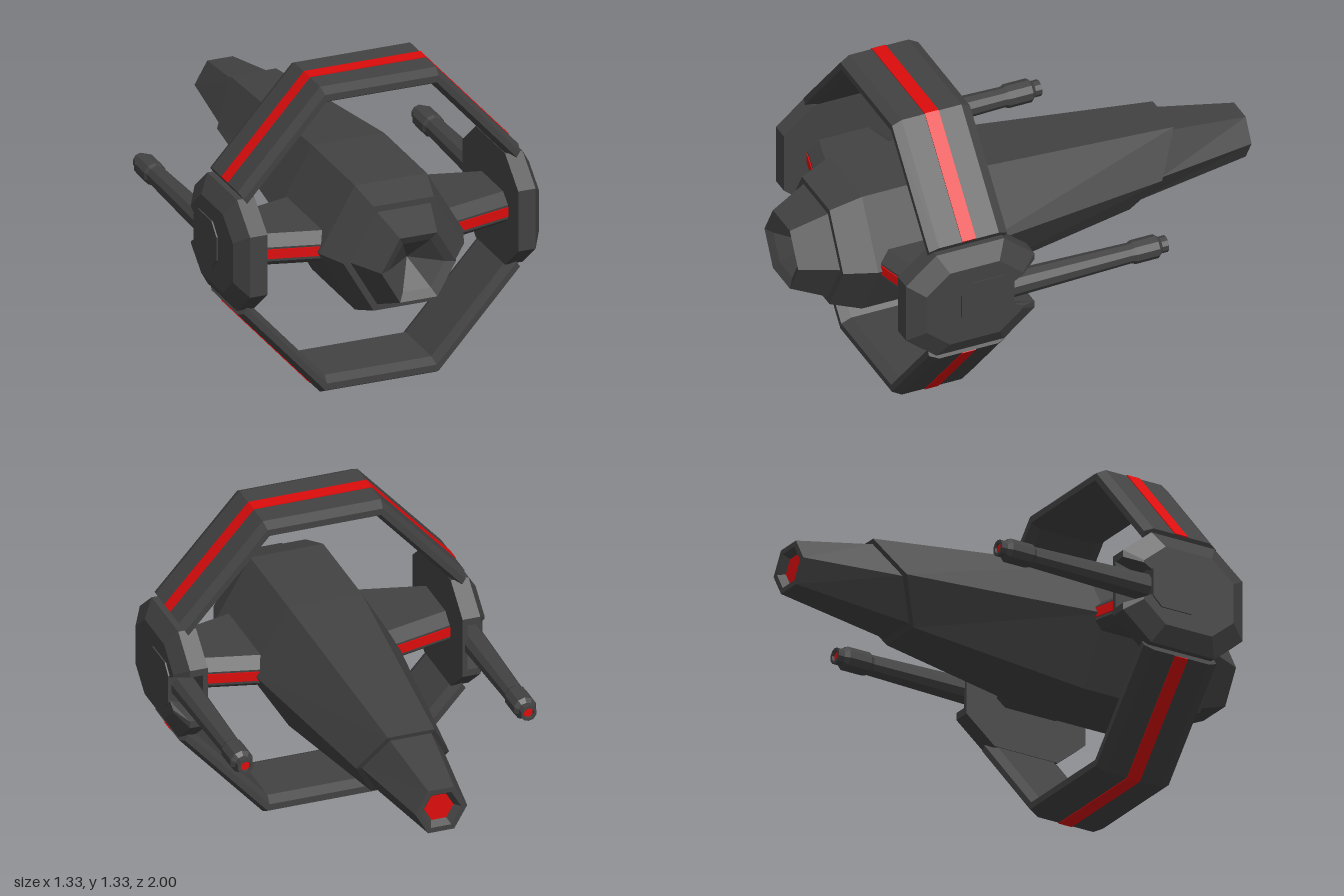
import * as THREE from 'three';

const CY = 0.66; // height of the hull axis
const HZ = 0.46; // z centre of the frame and the side pods

// Closed flat-sided solid through matching rings of [x, y, z]; `drop` is the axis ignored when capping
function loft(rings, drop) {
  const flat = r => r.map(p => new THREE.Vector2(...p.filter((_, k) => k !== drop)));
  if (THREE.ShapeUtils.isClockWise(flat(rings[0]))) rings = rings.map(r => [...r].reverse());
  const n = rings[0].length, out = [];
  const cap = (ring, flip) => {
    const f = flat(ring);
    for (const t of THREE.ShapeUtils.triangulateShape(f, [])) {
      const ccw = THREE.ShapeUtils.area(t.map(i => f[i])) > 0;
      const tri = t.map(i => ring[i]);
      out.push(ccw !== flip ? tri : tri.reverse());
    }
  };
  cap(rings[0], true);
  for (let j = 0; j + 1 < rings.length; j++) {
    for (let i = 0; i < n; i++) {
      const k = (i + 1) % n, a = rings[j][i], b = rings[j][k], c = rings[j + 1][k], d = rings[j + 1][i];
      out.push([a, b, c], [a, c, d]);
    }
  }
  cap(rings[rings.length - 1], false);
  // Turn everything outward if the enclosed volume comes out negative
  let volume = 0;
  const v = p => new THREE.Vector3(...p);
  for (const [a, b, c] of out) volume += v(a).dot(v(b).cross(v(c)));
  if (volume < 0) out.forEach(t => t.reverse());
  const g = new THREE.BufferGeometry();
  g.setAttribute('position', new THREE.Float32BufferAttribute(out.flat(2), 3));
  g.computeVertexNormals();
  return g;
}

// Hexagon around the hull axis, optionally leaning back with height
function hex(r, z, lean = 0) {
  return Array.from({ length: 6 }, (_, i) => {
    const a = i * Math.PI / 3, y = r * Math.sin(a);
    return [r * Math.cos(a), CY + y, z - lean * y];
  });
}

export function createModel() {
  const model = new THREE.Group();
  const grey = new THREE.MeshStandardMaterial({ color: 0x424242, flatShading: true });
  grey.name = 'dark grey';
  const red = new THREE.MeshStandardMaterial({ color: 0xdd0c0c, flatShading: true });
  red.name = 'red';
  const add = (name, geometry, material, parent = model) => {
    const m = new THREE.Mesh(geometry, material);
    m.name = name;
    parent.add(m);
    return m;
  };

  // Hull: recessed nose, stepped cockpit, long taper, slanted step and tail with a sunken nozzle
  add('hull', loft([
    hex(0.001, 0.88), hex(0.12, 0.98), hex(0.16, 1), hex(0.23, 0.85), hex(0.26, 0.85),
    hex(0.31, 0.72), hex(0.31, 0.29), hex(0.197, -0.57, 0.56), hex(0.175, -0.575, 0.56),
    hex(0.11, -1), hex(0.085, -1), hex(0.062, -0.97),
  ], 2), grey);
  add('tailGlow', loft([hex(0.062, -0.968), hex(0.062, -0.973)], 2), red);

  // Upper and lower frame arches; t runs from the inner face (0) to the outer face (1)
  const outer = [[0.605, 0.925], [0.25, 1.32], [-0.25, 1.32], [-0.605, 0.925]];
  const inner = [[0.57, 0.87], [0.23, 1.25], [-0.23, 1.25], [-0.57, 0.87]];
  const arch = (section, lower) => loft(outer.map((o, i) => section.map(([t, z]) => {
    const x = inner[i][0] + (o[0] - inner[i][0]) * t;
    const y = inner[i][1] + (o[1] - inner[i][1]) * t;
    return [x, lower ? 2 * CY - y : y, HZ + z];
  })), 0);
  const beam = [[0, -0.13], [0.3, -0.17], [0.7, -0.17], [1, -0.13], [1, 0.13], [0.7, 0.17], [0.3, 0.17], [0, 0.13]];
  const band = [[0.97, -0.03], [1.05, -0.03], [1.05, 0.03], [0.97, 0.03]];
  for (const lower of [false, true]) {
    const end = lower ? 'lower' : 'upper';
    add(end + 'FrameArch', arch(beam, lower), grey);
    add(end + 'FrameStripe', arch(band, lower), red);
  }

  // Pod outline in (z, y): chamfered rectangle, with a rear notch of half height h when given
  const podRing = (x, a, b, c, h) => {
    const half = [[-a, b - c], [-a + c * 1.2, b], [a - c * 1.2, b], [a, b - c]];
    if (h) half.unshift([-0.17, h * 0.7], [-a, h]);
    return [...half, ...half.map(([z, y]) => [z, -y]).reverse()].map(([z, y]) => [x, CY + y, HZ + z]);
  };

  for (const s of [1, -1]) {
    const side = new THREE.Group();
    side.name = s > 0 ? 'leftSide' : 'rightSide';
    model.add(side);
    const mirrored = rings => loft(rings.map(r => r.map(([x, y, z]) => [s * x, y, z])), 0);

    // Strut from the hull to the pod, narrowing outward, with a red band fore and aft
    const strut = (x, w) => [
      [-w, 0.63], [-w + 0.04, 0.60], [w - 0.04, 0.60], [w, 0.63],
      [w, 0.69], [w - 0.05, 0.73], [-w + 0.05, 0.73], [-w, 0.69],
    ].map(([z, y]) => [x, y, 0.48 + z]);
    const strutBand = (x, w) => [[-w, 0.642], [w, 0.642], [w, 0.682], [-w, 0.682]]
      .map(([z, y]) => [x, y, 0.48 + z]);
    add('strut', mirrored([strut(0.2, 0.245), strut(0.56, 0.152)]), grey, side);
    add('strutStripe', mirrored([strutBand(0.2, 0.25), strutBand(0.56, 0.157)]), red, side);

    // Side pod: backing plate, notched bevelled shell and raised mount plate
    add('podBacking', mirrored([podRing(0.54, 0.28, 0.24, 0.11), podRing(0.56, 0.28, 0.24, 0.11)]), grey, side);
    add('podShell', mirrored([
      podRing(0.545, 0.28, 0.24, 0.11, 0.1), podRing(0.615, 0.28, 0.24, 0.11, 0.1),
      podRing(0.66, 0.21, 0.17, 0.085, 0.075),
    ]), grey, side);
    const plate = x => [
      [0.29, 0.60], [0.29, 0.72], [0.33, 0.76], [0.47, 0.76],
      [0.52, 0.71], [0.52, 0.61], [0.47, 0.56], [0.33, 0.56],
    ].map(([z, y]) => [x, y, z]);
    add('mountPlate', mirrored([plate(0.65), plate(0.666)]), grey, side);

    // Rear-facing barrel with a thicker muzzle and a red tip
    const profile = [
      [0, -0.3], [0.055, -0.3], [0.042, 0.24], [0.049, 0.255], [0.049, 0.355],
      [0.034, 0.372], [0.034, 0.4], [0.022, 0.4], [0.02, 0.385],
    ].map(p => new THREE.Vector2(...p));
    const barrel = add('barrel', new THREE.LatheGeometry(profile, 10).rotateX(-Math.PI / 2), grey, side);
    barrel.position.set(s * 0.6, CY, 0);
    const tip = add('barrelTip', new THREE.CircleGeometry(0.022, 10).rotateY(Math.PI), red, side);
    tip.position.set(s * 0.6, CY, -0.39);
  }
  return model;
}
